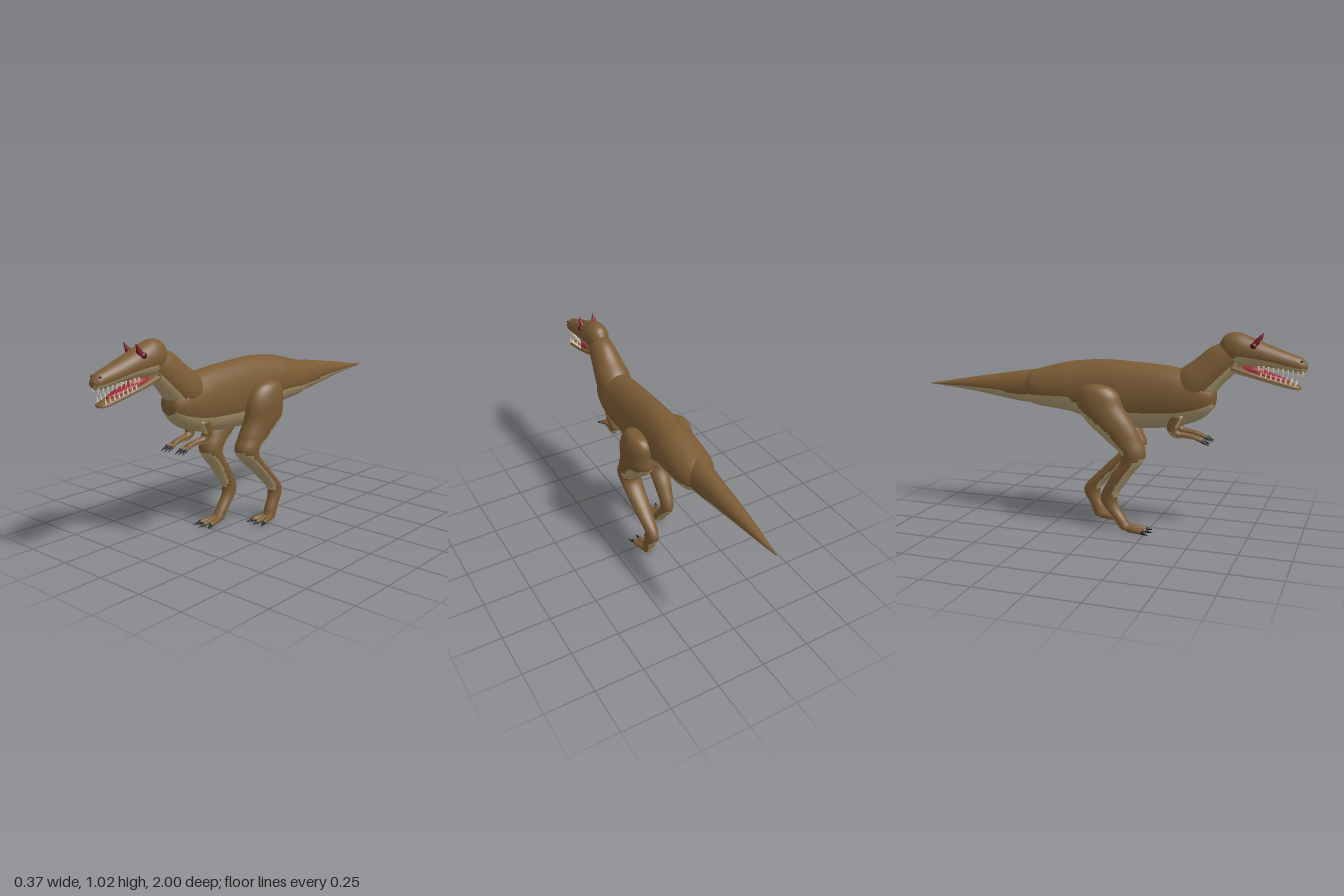
import * as THREE from 'three';

const material = (name, color) => {
  const m = new THREE.MeshStandardMaterial({ color });
  m.name = name;
  return m;
};

export function createModel() {
  const brown = material('brown hide', 0x7a5a34);
  const pale = material('pale underside', 0xb09a70);
  const hornRed = material('dark red horn', 0x701822);
  const mouthRed = material('red mouth', 0x9c2a30);
  const black = material('black claw', 0x1c1a1a);
  const ivory = material('ivory tooth', 0xe0d8bc);
  const model = new THREE.Group();
  model.name = 'dinosaur';

  const V = (x, y, z) => new THREE.Vector3(x, y, z);
  const add = (name, geometry, mat, parent = model) => {
    const mesh = new THREE.Mesh(geometry, mat);
    mesh.name = name;
    parent.add(mesh);
    return mesh;
  };

  // Smooth skin over elliptical rings [x, y, z, halfWidth, halfDepth, tilt].
  // Tilt 0 makes a ring upright, PI/2 makes it level. Downward faces are pale.
  function loft(name, rings, parent = model, sides = 40, steps = 7) {
    const centres = new THREE.CatmullRomCurve3(rings.map(r => V(r[0], r[1], r[2])), false, 'catmullrom', 0.5);
    const sizes = new THREE.CatmullRomCurve3(rings.map(r => V(r[3], r[4], r[5] || 0)), false, 'catmullrom', 0.5);
    const rows = (rings.length - 1) * steps;
    const pos = [], tris = [];
    for (let i = 0; i <= rows; i++) {
      const c = centres.getPoint(i / rows), s = sizes.getPoint(i / rows);
      const rx = Math.max(s.x, 0.001), r = Math.max(s.y, 0.001);
      for (let j = 0; j < sides; j++) {
        const a = j / sides * Math.PI * 2, d = r * Math.sin(a);
        pos.push(c.x + rx * Math.cos(a), c.y + d * Math.cos(s.z), c.z + d * Math.sin(s.z));
        const k = (j + 1) % sides, p = i * sides;
        if (i < rows) tris.push([p + j, p + k, p + sides + j], [p + k, p + sides + k, p + sides + j]);
      }
    }
    // End caps
    const first = pos.length / 3, last = first + 1;
    pos.push(...centres.getPoint(0).toArray(), ...centres.getPoint(1).toArray());
    for (let j = 0; j < sides; j++) {
      const k = (j + 1) % sides, p = rows * sides;
      tris.push([first, k, j], [last, p + j, p + k]);
    }
    // Face outwards, then sort by the direction each face looks
    const at = i => V(pos[3 * i], pos[3 * i + 1], pos[3 * i + 2]);
    let volume = 0;
    for (const [a, b, c] of tris) volume += at(a).dot(at(b).cross(at(c)));
    const groups = [[], []];
    for (const t of tris) {
      if (volume < 0) t.reverse();
      const [a, b, c] = t.map(at);
      const n = b.sub(a).cross(c.sub(a)).normalize();
      groups[n.y < -0.3 ? 1 : 0].push(...t);
    }
    const g = new THREE.BufferGeometry();
    g.setAttribute('position', new THREE.Float32BufferAttribute(pos, 3));
    g.setIndex([...groups[0], ...groups[1]]);
    g.addGroup(0, groups[0].length, 0);
    g.addGroup(groups[0].length, groups[1].length, 1);
    g.computeVertexNormals();
    return add(name, g, [brown, pale], parent);
  }

  // Tapered rod between two points
  function spike(name, a, b, r0, r1, mat, parent, sides = 10) {
    const dir = b.clone().sub(a);
    const mesh = add(name, new THREE.CylinderGeometry(r1, r0, dir.length(), sides), mat, parent);
    mesh.position.copy(a).add(b).multiplyScalar(0.5);
    mesh.quaternion.setFromUnitVectors(V(0, 1, 0), dir.normalize());
    return mesh;
  }
  function ball(name, c, sx, sy, sz, mat, parent = model) {
    const mesh = add(name, new THREE.SphereGeometry(1, 20, 14), mat, parent);
    mesh.position.copy(c);
    mesh.scale.set(sx, sy, sz);
    return mesh;
  }

  // Trunk, tail and neck
  loft('body', [
    [0, .70, .575, .015, .015], [0, .70, .56, .055, .06], [0, .70, .50, .085, .115],
    [0, .69, .40, .099, .142], [0, .688, .30, .1, .158], [0, .688, .15, .1, .168],
    [0, .69, 0, .1, .172], [0, .71, -.12, .101, .142], [0, .715, -.2, .105, .126],
    [0, .705, -.34, .1, .1], [0, .702, -.40, .076, .082], [0, .70, -.44, .03, .04]]);
  loft('tail', [
    [0, .705, -.28, .06, .1], [0, .705, -.40, .063, .087], [0, .702, -.5, .056, .075],
    [0, .70, -.75, .035, .036], [0, .692, -.93, .013, .011], [0, .69, -1, .002, .003]]);
  loft('neck', [
    [0, .70, .42, .085, .1, -.8], [0, .77, .48, .09, .1, -.9], [0, .82, .535, .08, .09, -.8],
    [0, .885, .605, .065, .083, -.75], [0, .925, .67, .05, .055, -.6]]);

  // Head and jaw, given as [z, top, bottom, halfWidth]
  const head = new THREE.Group();
  head.name = 'head';
  model.add(head);
  const profile = rows => rows.map(([z, t, b, w]) => [0, (t + b) / 2, z, w, (t - b) / 2]);
  loft('skull', profile([
    [.585, .965, .92, .02], [.615, 1.005, .87, .05], [.67, 1.017, .852, .063], [.75, .99, .855, .06],
    [.84, .955, .85, .052], [.92, .926, .838, .043], [.975, .905, .834, .034], [1, .88, .85, .016]]), head);
  loft('lowerJaw', profile([
    [.62, .88, .83, .045], [.75, .838, .80, .049], [.85, .81, .775, .043],
    [.93, .788, .757, .037], [.965, .776, .755, .026], [.975, .768, .76, .01]]), head);
  ball('tongue', V(0, .822, .80), .034, .016, .13, mouthRed, head).rotation.x = .24;
  ball('mouthBack', V(0, .835, .74), .036, .03, .07, mouthRed, head);

  for (const s of [-1, 1]) {
    spike('horn', V(s * .034, .962, .758), V(s * .041, 1.015, .788), .018, 0, hornRed, head, 12);
    ball('eyeSocket', V(s * .052, .958, .752), .009, .014, .016, hornRed, head);
    ball('eye', V(s * .057, .958, .753), .006, .009, .009, black, head);
    ball('nostril', V(s * .027, .892, .975), .004, .005, .008, black, head);
    // Teeth along both jaws
    for (let i = 0; i < 10; i++) {
      const t = i / 9, z = .78 + .2 * t;
      const x = s * (.046 - .02 * t - .008 * t * t), y = .866 - .02 * t;
      spike('upperTooth', V(x, y, z), V(x, y - .034, z + .002), .006, 0, ivory, head, 6);
      if (i < 8) {
        const u = i / 7, lx = s * (.041 - .014 * u), ly = .816 - .04 * u, lz = .79 + .16 * u;
        spike('lowerTooth', V(lx, ly, lz), V(lx, ly + .03, lz + .004), .005, 0, ivory, head, 6);
      }
    }

    // Arm with three clawed fingers
    const arm = new THREE.Group();
    arm.name = s > 0 ? 'leftArm' : 'rightArm';
    model.add(arm);
    const q = Math.PI / 2;
    loft('armLimb', [
      [s * .062, .61, .40, .028, .034, q], [s * .058, .545, .372, .023, .028, q],
      [s * .053, .513, .39, .019, .022, q / 2], [s * .048, .508, .44, .015, .015, 0],
      [s * .046, .502, .48, .017, .012, 0], [s * .046, .495, .505, .018, .008, 0]], arm, 20, 5);
    for (const f of [-1, 0, 1]) {
      const knuckle = V(s * .046 + f * .017, .488, .52);
      spike('finger', V(s * .046 + f * .009, .498, .49), knuckle, .009, .007, brown, arm);
      spike('fingerClaw', knuckle, V(s * .046 + f * .024, .468, .56), .008, 0, black, arm);
    }
  }

  // Legs in mid stride: level rings [y, z, halfDepth, x, halfWidth]
  const hip = [[.75, 0, .02, .125, .012], [.737, 0, .07, .12, .042], [.70, .005, .105, .112, .067],
    [.64, .015, .118, .109, .076]];
  const strides = [
    { name: 'leftLeg', s: 1, toe: -.035, rings: [[.56, .022, .12, .107, .072], [.48, .08, .095, .1, .066],
      [.40, .13, .06, .097, .059], [.28, .015, .05, .095, .047], [.16, -.098, .045, .09, .032],
      [.06, -.068, .037, .09, .031], [.012, -.05, .036, .09, .03]] },
    { name: 'rightLeg', s: -1, toe: .17, rings: [[.56, .065, .12, .107, .072], [.48, .13, .095, .1, .066],
      [.39, .185, .06, .097, .059], [.28, .115, .05, .095, .047], [.16, .055, .043, .09, .032],
      [.06, .115, .037, .09, .031], [.012, .15, .036, .09, .03]] }];
  for (const { name, s, toe, rings } of strides) {
    const leg = new THREE.Group();
    leg.name = name;
    model.add(leg);
    loft('legLimb', [...hip, ...rings].map(([y, z, d, x, w]) => [s * x, y, z, w, d, Math.PI / 2]), leg);
    // Three toes with dark claws
    for (const f of [-1, 0, 1]) {
      const x = s * .09, reach = f ? 0 : .012;
      const tip = V(x + f * .034, .013, toe + .06 + reach);
      spike('toe', V(x + f * .014, .018, toe - .01), tip, .018, .012, brown, leg);
      ball('toeTip', tip, .013, .012, .014, brown, leg);
      spike('toeClaw', tip, V(x + f * .052, .004, toe + .108 + reach), .012, 0, black, leg);
    }
  }
  return model;
}
